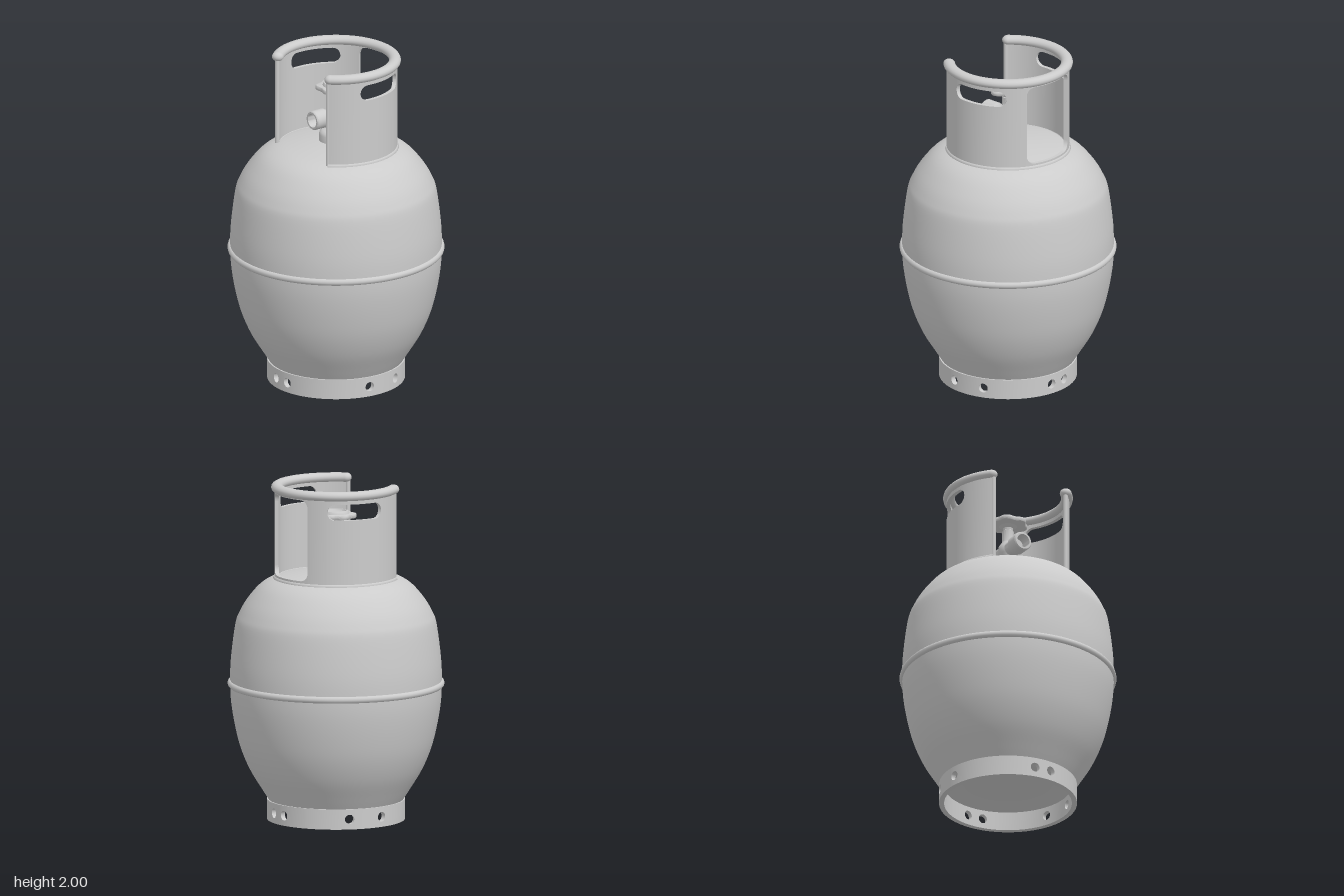
import * as THREE from 'three';
import { mergeGeometries, toCreasedNormals } from 'three/addons/utils/BufferGeometryUtils.js';

const DEG = Math.PI / 180;
const material = new THREE.MeshStandardMaterial({ color: 0xcccccc });
const vec = (pts) => pts.map(([x, y]) => new THREE.Vector2(x, y));

function add(parent, name, geometry, x = 0, y = 0, z = 0) {
  const mesh = new THREE.Mesh(geometry, material);
  mesh.name = name;
  mesh.position.set(x, y, z);
  parent.add(mesh);
  return mesh;
}

// Turned part; edges sharper than the crease angle stay crisp
const turned = (pts, segments = 32, crease = 0.6) =>
  toCreasedNormals(new THREE.LatheGeometry(pts, segments), crease);

// Curved slab between two azimuths (0 = front, positive towards +x);
// low and high give its edges at each azimuth
function slab(rIn, rOut, a0, a1, low, high, steps) {
  const g = new THREE.BoxGeometry(1, 1, 1, steps, 1, 1);
  const p = g.attributes.position;
  for (let i = 0; i < p.count; i++) {
    const t = (1 - Math.cos((p.getX(i) + 0.5) * Math.PI)) / 2;
    const a = a0 + (a1 - a0) * t;
    const y = THREE.MathUtils.lerp(low(a), high(a), p.getY(i) + 0.5);
    const r = p.getZ(i) > 0 ? rOut : rIn;
    p.setXYZ(i, r * Math.sin(a), y, r * Math.cos(a));
  }
  g.computeVertexNormals();
  return g;
}

// Round wall with rounded cutouts, listed in order of azimuth:
// { a: centre, w: half angle, y0, y1, r: corner radius }
function wall(rIn, rOut, bottom, top, start, end, holes) {
  const parts = [];
  const lo = () => bottom, hi = () => top;
  const solid = (a, b) =>
    parts.push(slab(rIn, rOut, a, b, lo, hi, Math.max(4, Math.ceil((b - a) / (3 * DEG)))));
  let from = start;
  for (const h of holes) {
    const mid = (h.y0 + h.y1) / 2, half = (h.y1 - h.y0) / 2;
    const reach = (a) => {
      const inset = Math.max(0, Math.abs(a - h.a) * rOut - (h.w * rOut - h.r));
      return half - h.r + Math.sqrt(Math.max(0, h.r * h.r - inset * inset));
    };
    solid(from, h.a - h.w);
    parts.push(slab(rIn, rOut, h.a - h.w, h.a + h.w, lo, (a) => mid - reach(a), 36));
    parts.push(slab(rIn, rOut, h.a - h.w, h.a + h.w, (a) => mid + reach(a), hi, 36));
    from = h.a + h.w;
  }
  solid(from, end);
  return mergeGeometries(parts);
}

function buildTank(parent) {
  // Vessel: flat underside, then one smooth curve up to the dome
  const side = new THREE.SplineCurve(vec([
    [0.39, 0.11], [0.435, 0.18], [0.505, 0.295], [0.558, 0.42], [0.592, 0.55], [0.615, 0.69],
    [0.621, 0.81], [0.617, 0.95], [0.592, 1.15], [0.567, 1.225], [0.52, 1.305], [0.445, 1.39],
    [0.36, 1.437], [0.25, 1.46], [0.12, 1.475], [0, 1.48],
  ])).getPoints(72);
  side[side.length - 1].x = 0;
  add(parent, 'tank', turned([...vec([[0, 0.135], [0.3, 0.135]]), ...side], 96));

  const weld = new THREE.TorusGeometry(0.616, 0.021, 12, 96).rotateX(Math.PI / 2);
  add(parent, 'weldSeam', weld, 0, 0.807, 0);

  // Foot ring with drain holes: a pair at front and back, two on each side
  const radius = 0.028;
  const holes = [-112, -82, -7.6, 7.6, 82, 112, 172.4, 187.6].map((d) => (
    { a: d * DEG, w: radius / 0.405, y0: 0.06 - radius, y1: 0.06 + radius, r: radius }));
  add(parent, 'footRing', wall(0.375, 0.405, 0, 0.12, -150 * DEG, 210 * DEG, holes));
}

function buildCollar(parent) {
  const collar = new THREE.Group();
  collar.name = 'collar';
  parent.add(collar);

  // Guard wall: open at the front, hand slots at the sides, window at the back
  const slot = { w: 27.7 * DEG, y0: 1.83, y1: 1.925, r: 0.0474 };
  add(collar, 'guardWall', wall(0.337, 0.36, 1.42, 1.975, 45 * DEG, 315 * DEG, [
    { ...slot, a: 104 * DEG },
    { a: Math.PI, w: 29 * DEG, y0: 1.46, y1: 1.942, r: 0.05 },
    { ...slot, a: 256 * DEG },
  ]));

  // Rolled top rim with round ends
  const rim = new THREE.TorusGeometry(0.346, 0.035, 16, 96, 266 * DEG)
    .rotateZ(-223 * DEG).rotateX(Math.PI / 2).scale(1, 0.8, 1);
  add(collar, 'topRim', rim, 0, 1.972, 0);
  for (const s of [-1, 1]) {
    const a = s * 47 * DEG;
    add(collar, 'rimEnd', new THREE.SphereGeometry(0.035, 20, 14).scale(1, 0.8, 1),
      0.346 * Math.sin(a), 1.972, 0.346 * Math.cos(a));
    const b = s * 45 * DEG;
    add(collar, 'wallEdge', new THREE.CylinderGeometry(0.014, 0.014, 0.55, 14),
      0.348 * Math.sin(b), 1.695, 0.348 * Math.cos(b));
  }
  // Fillet where the wall meets the dome
  const fillet = new THREE.TorusGeometry(0.35, 0.02, 8, 72, 270 * DEG)
    .rotateZ(-225 * DEG).rotateX(Math.PI / 2);
  add(collar, 'collarWeld', fillet, 0, 1.432, 0);
}

function buildValve(parent) {
  const valve = new THREE.Group();
  valve.name = 'valve';
  parent.add(valve);

  add(valve, 'valveBase', turned(vec([
    [0.1, 1.45], [0.1, 1.515], [0.094, 1.53], [0.08, 1.54], [0.045, 1.547], [0, 1.547]]), 40));

  add(valve, 'valveStem', turned(vec([
    [0.045, 1.53], [0.04, 1.555], [0.042, 1.58], [0.055, 1.605], [0.06, 1.63], [0.055, 1.655],
    [0.038, 1.68], [0.034, 1.69], [0.034, 1.755], [0.028, 1.76], [0.03, 1.775], [0.055, 1.79],
    [0.055, 1.8]]), 32, 0.8));

  // Hollow outlet facing the front
  add(valve, 'outlet', turned(vec([
    [0.046, 0], [0.046, 0.085], [0.057, 0.092], [0.057, 0.17], [0.052, 0.177], [0.041, 0.177],
    [0.041, 0.1], [0, 0.1]])).rotateX(Math.PI / 2), 0, 1.63, 0);

  // Relief plug at the back
  add(valve, 'reliefPlug', turned(vec([
    [0.045, 0], [0.045, 0.075], [0.036, 0.085], [0.026, 0.09], [0.026, 0.113], [0.02, 0.12],
    [0, 0.12]])).rotateX(-Math.PI / 2), 0, 1.63, 0);

  // Six-lobed hand wheel with a dished hub
  const outline = [];
  for (let i = 0; i < 72; i++) {
    const a = i * 5 * DEG, r = 0.105 + 0.009 * Math.cos(6 * (a + 6 * DEG));
    outline.push(new THREE.Vector2(r * Math.cos(a), r * Math.sin(a)));
  }
  const wheel = new THREE.ExtrudeGeometry(new THREE.Shape(outline), {
    depth: 0.012, bevelThickness: 0.008, bevelSize: 0.006, bevelSegments: 3 });
  add(valve, 'handWheel', toCreasedNormals(wheel.rotateX(-Math.PI / 2), 0.7), 0, 1.797, 0);
  add(valve, 'wheelHub', turned(vec([
    [0.08, 1.808], [0.078, 1.82], [0.07, 1.832], [0.063, 1.833], [0.057, 1.822], [0, 1.82]])));
}

export function createModel() {
  const model = new THREE.Group();
  model.name = 'gasCylinder';
  buildTank(model);
  buildCollar(model);
  buildValve(model);
  return model;
}
